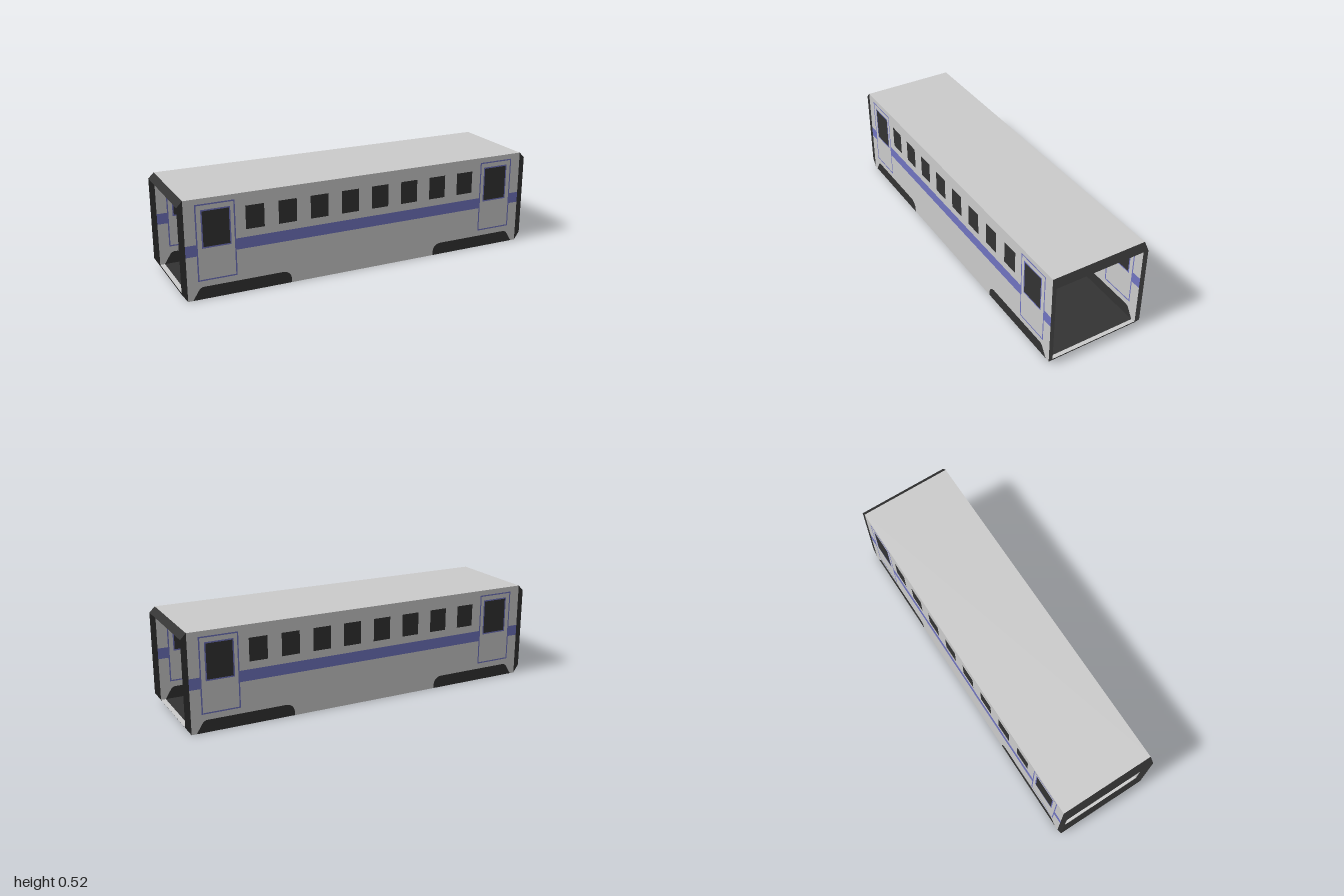
import * as THREE from 'three';

const material = (color) => new THREE.MeshStandardMaterial({ color, side: THREE.DoubleSide });
const grey = material(0xcccccc);
const blue = material(0x7074c0);
const dark = material(0x333333);

const W = 0.26;                       // half width
const H = 0.52;                       // height
const L = 0.97;                       // half length without the end frames
const STRIPE = [0.23, 0.289];         // bottom and top of the stripe
const DOOR = [0.711, 0.914, 0.096, 0.492];  // x0, x1, y0, y1
const DOOR_WINDOW = [0.735, 0.885, 0.265, 0.462];
const BOGIE = [0.42, 0.944];
const WINDOWS = Array.from({ length: 8 }, (_, i) => (i - 3.5) * 0.174)
  .map((x) => [x - 0.049, x + 0.049, 0.329, 0.451]);

const polygon = (points) => new THREE.Shape(points.map(([x, y]) => new THREE.Vector2(x, y)));
const corners = ([x0, x1, y0, y1]) => [[x0, y0], [x1, y0], [x1, y1], [x0, y1]];
const rect = (r) => polygon(corners(r));
const inset = ([x0, x1, y0, y1], d) => [x0 + d, x1 - d, y0 + d, y1 - d];
const mirrored = (points) => points.map(([x, y]) => [-x, y]).reverse();

function cut(shape, ...rects) {
  shape.holes.push(...rects.map(rect));
  return shape;
}

function add(group, name, shape, mat) {
  const mesh = new THREE.Mesh(new THREE.ShapeGeometry(shape), mat);
  mesh.name = name;
  group.add(mesh);
  return mesh;
}

// Bogie skirt from its inner rounded end to its outer sloped end
function bogieOutline() {
  const points = [[BOGIE[0], 0], [BOGIE[0], 0.018]];
  for (let i = 1; i <= 5; i++) {
    const a = (i / 5) * Math.PI / 2;
    points.push([BOGIE[0] + 0.045 * (1 - Math.cos(a)), 0.018 + 0.047 * Math.sin(a)]);
  }
  points.push([0.893, 0.065], [0.908, 0.057], [BOGIE[1], 0]);
  return points;
}

// One side wall, drawn in x and y; all coloured fields lie flush in it
function createSide() {
  const side = new THREE.Group();
  const bogie = bogieOutline();
  const [x0, x1, y0, y1] = DOOR;
  const [s0, s1] = STRIPE;

  // Wall above the stripe, notched for the doors
  const upperNotch = [[x0, s1], [x0, y1], [x1, y1], [x1, s1]];
  add(side, 'upperWall', cut(polygon([
    [-L, s1], ...mirrored(upperNotch), ...upperNotch, [L, s1], [L, H], [-L, H],
  ]), ...WINDOWS), grey);

  // Wall below the stripe, notched for the doors and bogies
  const lowerNotch = [[x1, s0], [x1, y0], [x0, y0], [x0, s0]];
  add(side, 'lowerWall', polygon([
    [-L, 0], ...mirrored(bogie), ...bogie, [L, 0],
    [L, s0], ...lowerNotch, ...mirrored(lowerNotch), [-L, s0],
  ]), grey);

  add(side, 'middleStripe', rect([-x0, x0, s0, s1]), blue);
  WINDOWS.forEach((w) => add(side, 'window', rect(w), dark));

  for (const s of [-1, 1]) {
    const flip = ([a, b, c, d]) => (s > 0 ? [a, b, c, d] : [-b, -a, c, d]);
    const flipPoints = (points) => (s > 0 ? points : mirrored(points));
    const door = flip(DOOR), pane = flip(DOOR_WINDOW);
    add(side, 'endStripe', rect(flip([x1, L, s0, s1])), blue);
    add(side, 'doorFrame', cut(rect(door), inset(door, 0.007)), blue);
    add(side, 'doorPanel', cut(rect(inset(door, 0.007)), pane), grey);
    add(side, 'doorWindowFrame', cut(rect(pane), inset(pane, 0.007)), blue);
    add(side, 'doorWindow', rect(inset(pane, 0.007)), dark);
    add(side, 'bogieSkirt', polygon(flipPoints(bogie)), dark);
    add(side, 'endFrameSide', polygon(flipPoints([[L, 0], [1, 0.045], [1, 0.49], [L, H]])), dark);
  }
  return side;
}

// Flat panel across the full width, following a line in x and y
function addAcross(group, name, [xa, ya], [xb, yb], mat) {
  const length = Math.hypot(xb - xa, yb - ya);
  const geometry = new THREE.PlaneGeometry(length, 2 * W).rotateX(-Math.PI / 2);
  const mesh = new THREE.Mesh(geometry, mat);
  mesh.rotation.z = Math.atan2(yb - ya, xb - xa);
  mesh.position.set((xa + xb) / 2, (ya + yb) / 2, 0);
  mesh.name = name;
  group.add(mesh);
}

export function createModel() {
  const model = new THREE.Group();
  model.name = 'railCarriage';

  const front = createSide();
  front.name = 'frontSide';
  front.position.z = W;
  const back = createSide();
  back.name = 'backSide';
  back.rotation.y = Math.PI;
  back.position.z = -W;
  model.add(front, back);

  // Roof and floor; normals follow the direction of each line
  addAcross(model, 'roof', [-L, H], [L, H], grey);
  addAcross(model, 'middleFloor', [BOGIE[0], 0], [-BOGIE[0], 0], grey);
  for (const s of [-1, 1]) {
    const line = (name, a, b, mat) => (s > 0
      ? addAcross(model, name, a, b, mat)
      : addAcross(model, name, [-b[0], b[1]], [-a[0], a[1]], mat));
    line('bogieFloor', [BOGIE[1], 0], [BOGIE[0], 0], dark);
    line('endFloor', [L, 0], [BOGIE[1], 0], grey);
    // Sloped lips of the open end
    line('endFrameTop', [L, H], [1, 0.49], dark);
    line('endFrameBottom', [1, 0.045], [L, 0], dark);
  }
  return model;
}
